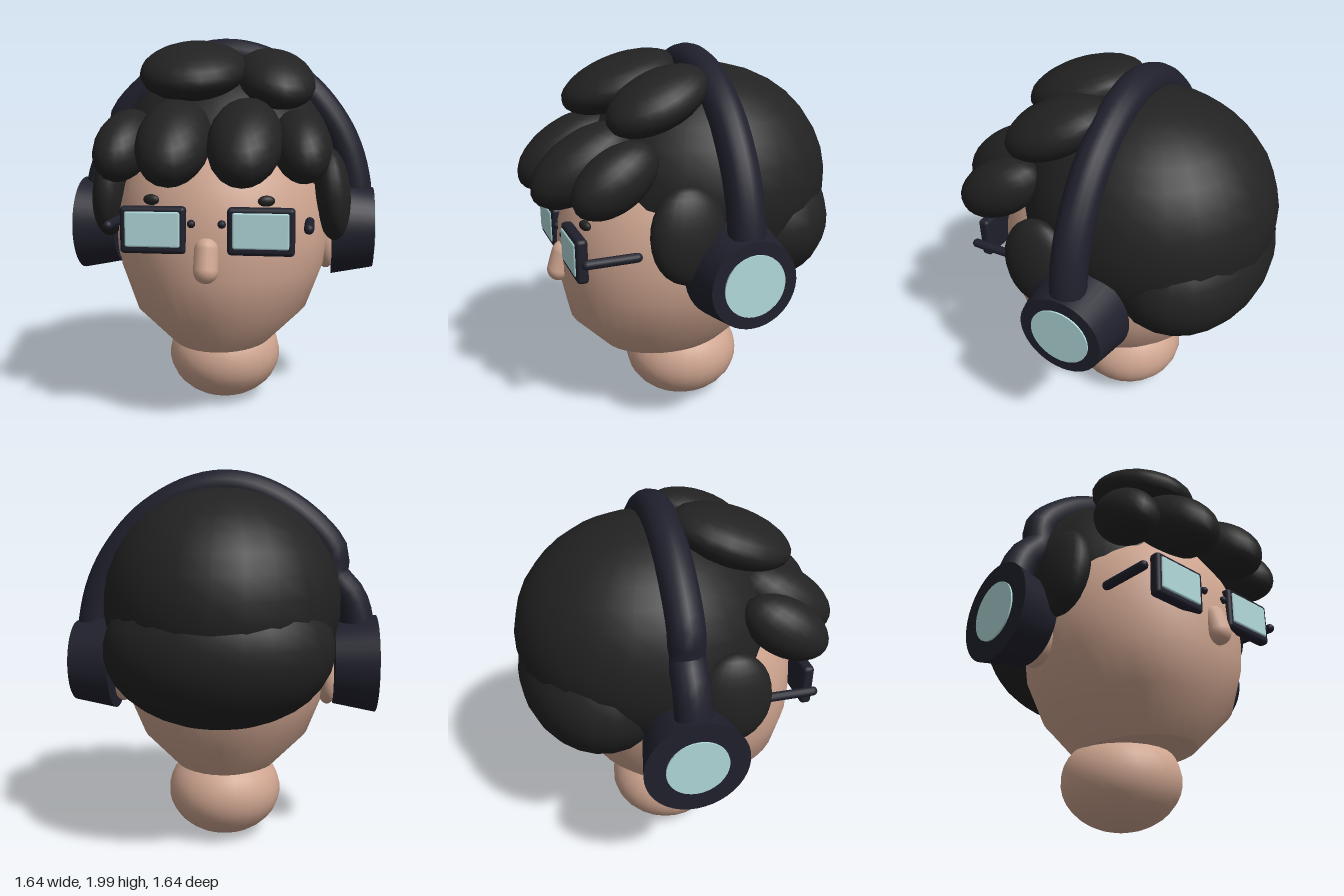
import * as THREE from 'three';
import { RoundedBoxGeometry } from 'three/addons/geometries/RoundedBoxGeometry.js';

export function createModel() {
  const model = new THREE.Group();
  model.name = 'headWithHeadphones';

  const material = (name, color) => {
    const m = new THREE.MeshStandardMaterial({ color });
    m.name = name;
    return m;
  };
  const skin = material('skin', 0xd0a691);
  const hair = material('hair', 0x222222);
  const navy = material('darkNavy', 0x20202d);
  const glass = material('paleCyan', 0xb2dadb);

  const add = (name, geometry, mat, pos = [0, 0, 0], rot = [0, 0, 0]) => {
    const mesh = new THREE.Mesh(geometry, mat);
    mesh.name = name;
    mesh.position.set(...pos);
    mesh.rotation.set(...rot);
    model.add(mesh);
    return mesh;
  };
  // Ellipsoid with its three radii
  const blob = (name, mat, pos, radii, rot, seg = 20) =>
    add(name, new THREE.SphereGeometry(1, seg, Math.round(seg * 0.7)), mat, pos, rot).scale.set(...radii);

  // Neck
  blob('neck', skin, [0, 0.26, -0.03], [0.31, 0.25, 0.32], undefined, 24);

  // Head: rings of y, x radius, z centre, z radius; doubled ring keeps the jaw edge crisp
  const rings = [
    [0.39, 0, 0.07, 0], [0.39, 0.27, 0.075, 0.355], [0.39, 0.27, 0.075, 0.355],
    [0.58, 0.46, 0.08, 0.53], [0.8, 0.545, 0.055, 0.6], [0.95, 0.565, 0.05, 0.61],
    [1.1, 0.56, 0.045, 0.605], [1.25, 0.525, 0.04, 0.565], [1.4, 0.46, 0.02, 0.5],
    [1.58, 0.3, 0, 0.32], [1.65, 0, 0, 0],
  ];
  const headGeo = new THREE.LatheGeometry(rings.map(([y, rx]) => new THREE.Vector2(rx, y)), 40, Math.PI);
  const p = headGeo.attributes.position;
  for (let i = 0; i < p.count; i++) {
    const [, rx, zc, rz] = rings[i % rings.length];
    p.setZ(i, zc + (rx ? (p.getZ(i) * rz) / rx : 0));
  }
  headGeo.computeVertexNormals();
  add('head', headGeo, skin);

  // Nose
  add('nose', new THREE.CapsuleGeometry(0.06, 0.1, 6, 14), skin, [0, 0.91, 0.655], [-0.3, 0, 0]);

  // Main hair masses
  blob('hairCrown', hair, [0, 1.3, -0.15], [0.62, 0.6, 0.67], undefined, 24);
  blob('hairNape', hair, [0, 1.09, -0.41], [0.58, 0.4, 0.415], undefined, 24);

  // Top curls
  blob('topCurlRight', hair, [-0.12, 1.81, 0.27], [0.27, 0.13, 0.32], [0.33, 0, 0]);
  blob('topCurlLeft', hair, [0.29, 1.77, 0.21], [0.2, 0.125, 0.28], [0.42, 0.2, -0.2]);

  for (const s of [-1, 1]) {
    const side = s > 0 ? 'Left' : 'Right';

    // Fringe and side curls
    blob('fringeInner' + side, hair, [s * 0.17, 1.46, 0.55], [0.18, 0.16, 0.3], [0.55, 0, 0]);
    blob('fringeOuter' + side, hair, [s * 0.43, 1.44, 0.47], [0.14, 0.145, 0.24], [0.55, s * 0.15, 0]);
    blob('sideCurl' + side, hair, [s * 0.585, 1.18, 0.17], [0.095, 0.24, 0.19], [0, 0, s * 0.08]);

    // Ear and eyebrow
    blob('ear' + side, skin, [s * 0.56, 0.92, -0.05], [0.07, 0.17, 0.13]);
    blob('eyebrow' + side, hair, [s * 0.275, 1.185, 0.585], [0.042, 0.026, 0.022], [0, s * 0.3, 0]);

    // Glasses
    add('glassesFrame' + side, new RoundedBoxGeometry(0.315, 0.225, 0.06, 2, 0.02), navy, [s * 0.255, 1.048, 0.637]);
    add('lens' + side, new RoundedBoxGeometry(0.265, 0.17, 0.03, 1, 0.01), glass, [s * 0.255, 1.053, 0.66]);
    add('templeArm' + side, new THREE.CapsuleGeometry(0.024, 0.25, 4, 12), navy, [s * 0.475, 1.063, 0.51], [Math.PI / 2, 0, 0]);
    blob('bridgeEnd' + side, navy, [s * 0.072, 1.08, 0.645], [0.02, 0.02, 0.025], undefined, 12);

    // Headphone cup: both taper toward +x
    const cup = new THREE.CylinderGeometry(0.218, 0.26, 0.22, 40).rotateZ(-Math.PI / 2);
    add('earCup' + side, cup, navy, [s * 0.7, 0.978, -0.07]);
    const disc = new THREE.CylinderGeometry(0.155, 0.155, 0.03, 32).rotateZ(-Math.PI / 2);
    add('cupDisc' + side, disc, glass, [s * 0.803, 0.978, -0.07]);
  }

  // Headband, pinched inward low on the right
  const path = [
    [0.715, 1.05], [0.71, 1.2], [0.66, 1.4], [0.57, 1.57], [0.42, 1.74], [0.2, 1.87], [0, 1.91],
    [-0.2, 1.87], [-0.42, 1.74], [-0.57, 1.57], [-0.575, 1.45], [-0.67, 1.33], [-0.71, 1.2], [-0.715, 1.05],
  ].map(([x, y]) => new THREE.Vector3(x, y, -0.07));
  add('headband', new THREE.TubeGeometry(new THREE.CatmullRomCurve3(path), 48, 0.09, 16), navy);

  return model;
}
